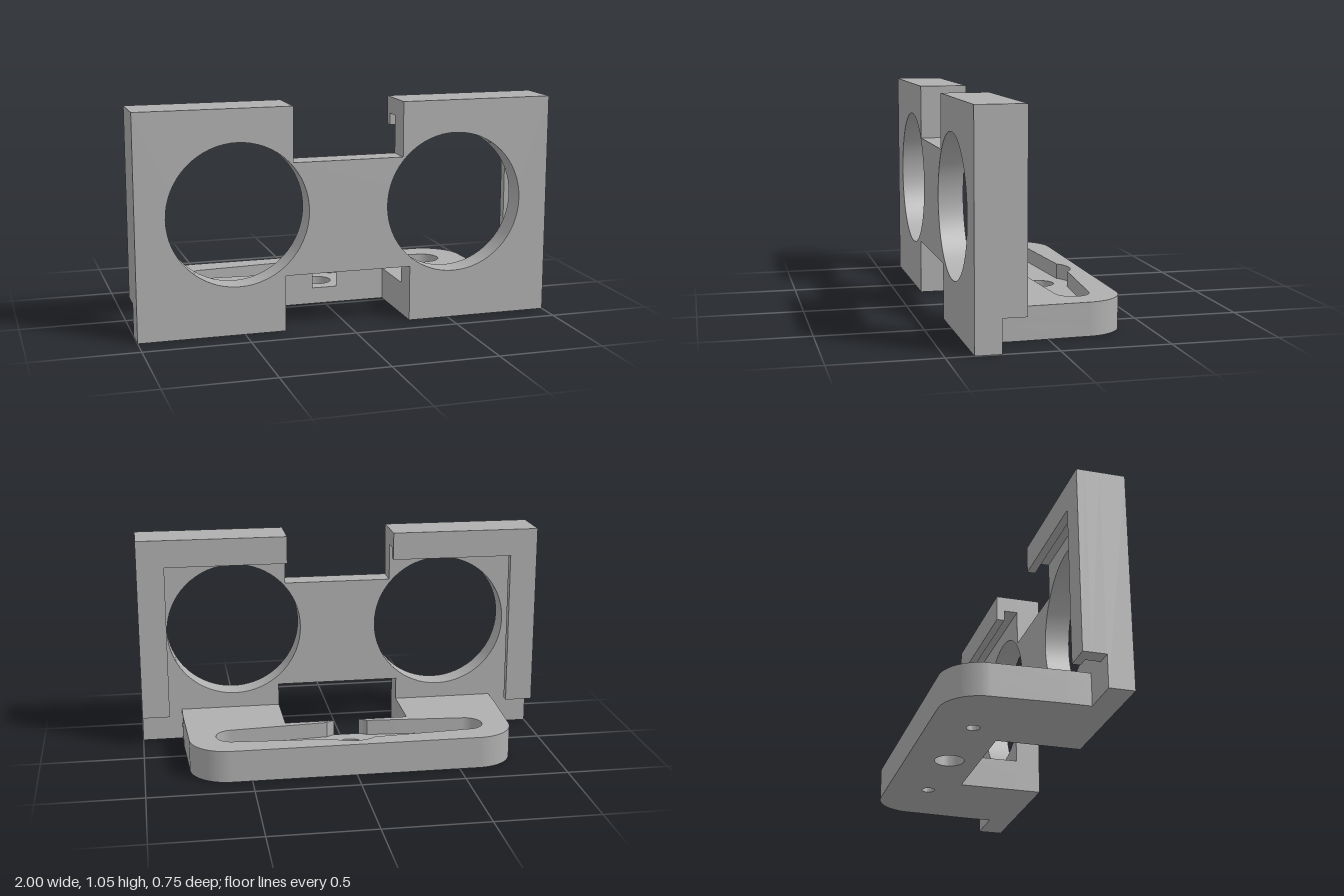
import * as THREE from 'three';
import { toCreasedNormals } from 'three/addons/utils/BufferGeometryUtils.js';

const PI = Math.PI;

export function createModel() {
  const group = new THREE.Group();
  const grey = new THREE.MeshStandardMaterial({ color: 0xb0b0b0 });
  grey.name = 'grey plastic';

  const extrude = (shape, depth) => toCreasedNormals(
    new THREE.ExtrudeGeometry(shape, { depth, bevelEnabled: false, curveSegments: 32 }), 0.5);
  const add = (name, geometry) => {
    const mesh = new THREE.Mesh(geometry, grey);
    mesh.name = name;
    group.add(mesh);
  };
  // upright slab between two z values
  const upright = (name, shape, z0, z1) => add(name, extrude(shape, z1 - z0).translate(0, 0, z0));
  // lying slab between two heights; shape y points to the back
  const lying = (name, shape, y0, y1) =>
    add(name, extrude(shape, y1 - y0).rotateX(-PI / 2).translate(0, y0, 0));
  const polygon = (pts) => new THREE.Shape(pts.map(([x, y]) => new THREE.Vector2(x, y)));
  const hole = (shape, x, y, r) =>
    shape.holes.push(new THREE.Path().absarc(x, y, r, 0, 2 * PI, true));

  // Front plate with notches above and below and two round openings
  const plate = polygon([
    [-1, 0], [-0.305, 0], [-0.305, 0.265], [0.305, 0.265], [0.305, 0], [1, 0],
    [1, 1.055], [0.265, 1.055], [0.265, 0.795], [-0.265, 0.795], [-0.265, 1.055], [-1, 1.055],
  ]);
  for (const s of [-1, 1]) hole(plate, s * 0.525, 0.565, 0.335);
  upright('frontPlate', plate, 0.255, 0.375);

  // Angled rims behind the plate: thin wall, then a wider lip that forms a groove
  const rim = (s, w) => polygon([
    [s, 0.155], [s, 1.055], [s * 0.265, 1.055], [s * 0.265, 1.055 - w],
    [s * (1 - w), 1.055 - w], [s * (1 - w), 0.155],
  ]);
  for (const [side, s] of [['left', 1], ['right', -1]]) {
    upright(side + 'RimWall', rim(s, 0.08), 0.185, 0.255);
    upright(side + 'RimLip', rim(s, 0.135), 0.145, 0.185);
  }

  // Base outline, rounded at the back, up to the inner corner of the front cut-out
  const baseOutline = () => {
    const b = new THREE.Shape();
    b.moveTo(0.305, -0.255);
    b.lineTo(0.8, -0.255);
    b.lineTo(0.8, -0.145);
    b.absarc(0.598, 0.188, 0.187, 0, PI / 2, false);
    b.absarc(-0.598, 0.188, 0.187, PI / 2, PI, false);
    b.lineTo(-0.8, -0.145);
    b.lineTo(-0.8, -0.255);
    b.lineTo(-0.305, -0.255);
    b.lineTo(-0.305, 0.03);
    return b;
  };

  // Lower layer: pocket floor with three screw holes
  const floor = baseOutline();
  floor.lineTo(0.305, 0.03);
  hole(floor, 0, 0.17, 0.07);
  for (const s of [-1, 1]) hole(floor, s * 0.425, 0.17, 0.031);
  lying('baseFloor', floor, 0, 0.08);

  // Upper layer: the same outline, running around the two-armed pocket
  const top = baseOutline();
  const cy = 0.17, r = 0.153;
  const a = Math.atan2(0.115, 0.1), m = Math.acos(0.14 / r);
  top.absarc(0, cy, r, -PI / 2 - m, -PI + a, true);
  top.absarc(-0.575, cy, 0.08, -PI / 2, PI / 2, true);
  top.absarc(0, cy, r, PI - a, a, true);
  top.absarc(0.575, cy, 0.08, PI / 2, -PI / 2, true);
  top.absarc(0, cy, r, -a, -PI / 2 + m, true);
  top.lineTo(0.305, 0.03);
  lying('baseTop', top, 0.08, 0.155);

  return group;
}
